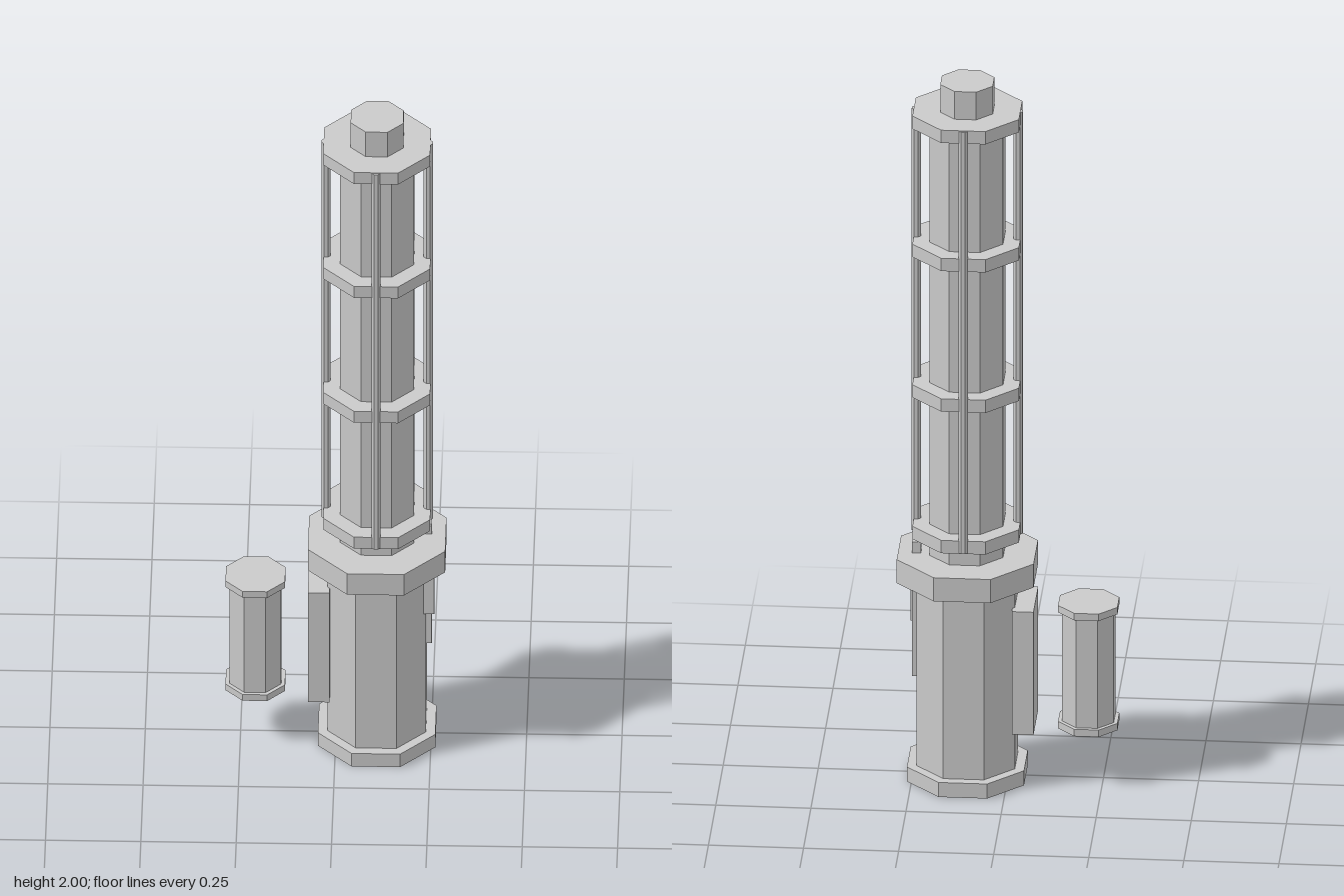
import * as THREE from 'three';

const material = new THREE.MeshStandardMaterial({ color: 0xcccccc, flatShading: true });
const AXIS = 0.108; // x of the main column

export function createModel() {
  const model = new THREE.Group();
  model.name = 'barrelAssembly';

  function add(name, geometry, x, y, z, parent = model) {
    const mesh = new THREE.Mesh(geometry, material);
    mesh.name = name;
    mesh.position.set(x, y, z);
    parent.add(mesh);
    return mesh;
  }

  // Upright octagonal prism with flat sides facing the axes
  function prism(name, halfWidth, y0, y1, x = AXIS, z = 0, parent = model) {
    const r = halfWidth / Math.cos(Math.PI / 8);
    const geometry = new THREE.CylinderGeometry(r, r, y1 - y0, 8).rotateY(Math.PI / 8);
    return add(name, geometry, x, (y0 + y1) / 2, z, parent);
  }

  // Box given by its limits on each axis
  function block(name, [x0, x1], [y0, y1], [z0, z1]) {
    return add(name, new THREE.BoxGeometry(x1 - x0, y1 - y0, z1 - z0),
      (x0 + x1) / 2, (y0 + y1) / 2, (z0 + z1) / 2);
  }

  // Lower housing
  prism('baseFlange', 0.154, 0, 0.042);
  prism('housing', 0.129, 0.042, 0.577);
  prism('collar', 0.18, 0.577, 0.645);

  // Upper tube with its muzzle
  prism('tube', 0.097, 0.645, 1.9);
  prism('muzzle', 0.069, 1.92, 2);

  // Clamping rings
  for (const y of [0.698, 1.107, 1.513, 1.883]) prism('ring', 0.14, y, y + 0.037);

  // Four slim rods held by the rings
  const rods = new THREE.Group();
  rods.name = 'rods';
  model.add(rods);
  for (let i = 0; i < 4; i++) {
    const a = i * Math.PI / 2;
    prism('rod', 0.012, 0.7, 1.918, AXIS + 0.134 * Math.cos(a), 0.134 * Math.sin(a), rods);
  }

  // Side plate and the separate canister beside it
  block('sidePlate', [-0.072, -0.015], [0.153, 0.508], [-0.08, 0.08]);
  const canister = new THREE.Group();
  canister.name = 'canister';
  model.add(canister);
  prism('canisterBody', 0.068, 0.173, 0.488, -0.211, 0, canister);
  for (const y of [0.153, 0.488]) prism('canisterCap', 0.078, y, y + 0.02, -0.211, 0, canister);

  // Latch box and long strip on the left side
  block('latchBox', [0.22, 0.259], [0.43, 0.57], [0.012, 0.06]);
  block('latchStrip', [0.228, 0.251], [0.29, 0.677], [-0.03, -0.002]);

  return model;
}
